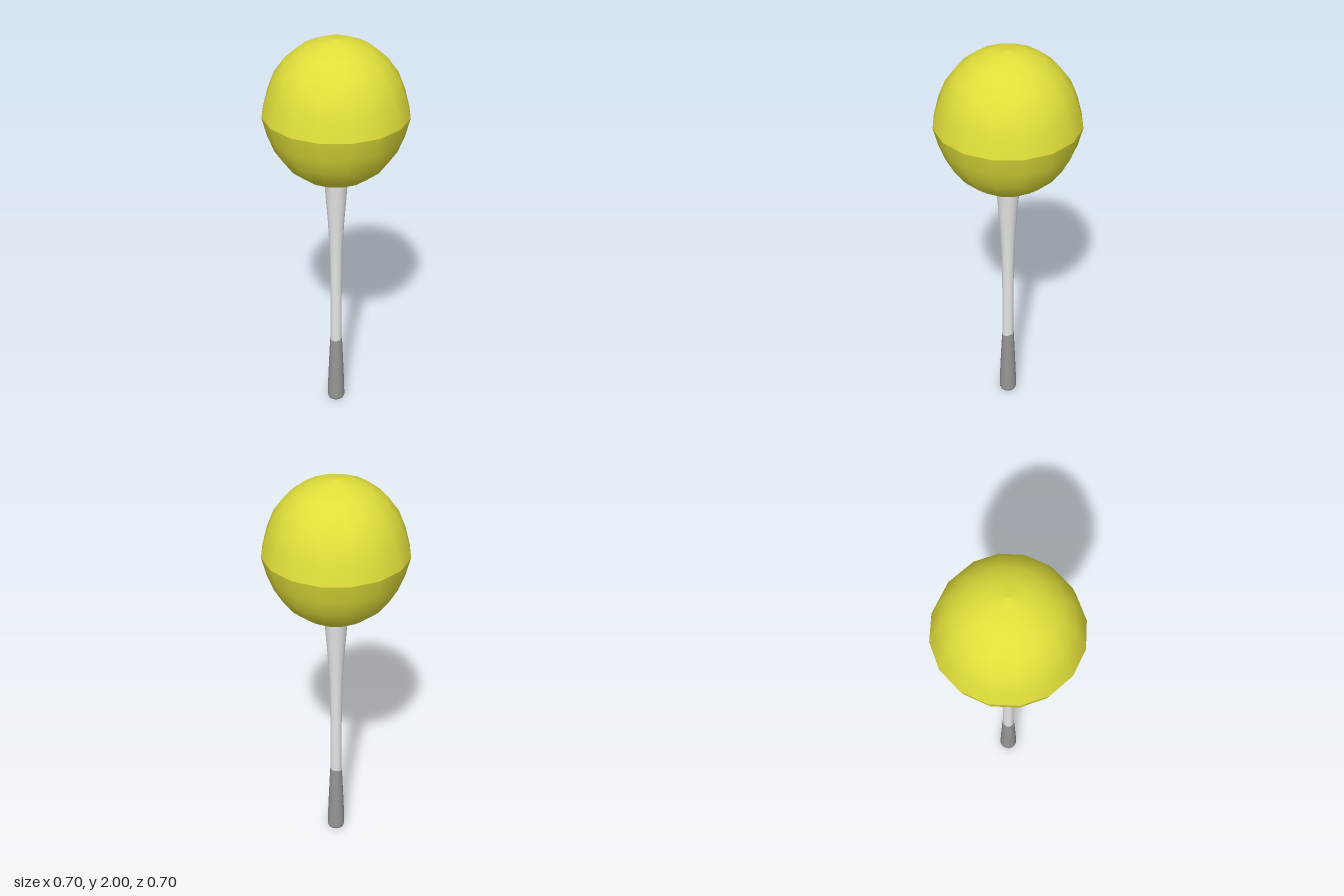
import * as THREE from 'three';

const yellow = new THREE.MeshStandardMaterial({ color: 0xe0de3a });
const offWhite = new THREE.MeshStandardMaterial({ color: 0xe6e6e6 });
const grey = new THREE.MeshStandardMaterial({ color: 0x959595 });

// Turned part; profile runs from bottom to top as [radius, y]
function turned(name, profile, material, segments = 16) {
  const points = profile.map(([r, y]) => new THREE.Vector2(r, y));
  const mesh = new THREE.Mesh(new THREE.LatheGeometry(points, segments), material);
  mesh.name = name;
  return mesh;
}

export function createModel() {
  const group = new THREE.Group();
  group.name = 'ballHeadedMallet';

  // Ball head: two domes meeting in a sharp, slightly proud seam
  const centreY = 1.645, radius = 0.336, height = 0.355, seamRadius = 0.348;
  const dome = [[seamRadius, 0]];
  for (let i = 1; i <= 6; i++) {
    const a = (i / 6) * Math.PI / 2;
    dome.push([i === 6 ? 0 : radius * Math.cos(a), height * Math.sin(a)]);
  }
  group.add(turned('upperDome', dome.map(([r, h]) => [r, centreY + h]), yellow));
  group.add(turned('lowerDome', dome.map(([r, h]) => [r, centreY - h]).reverse(), yellow));

  // Handle shaft flaring up into the ball
  group.add(turned('shaft', [
    [0.029, 0.34], [0.029, 0.6], [0.03, 0.78], [0.033, 0.92],
    [0.041, 1.07], [0.05, 1.19], [0.058, 1.3],
  ], offWhite));

  // Grip, its upper edge cut slightly higher at the back
  const grip = turned('grip', [[0.045, 0.012], [0.042, 0.12], [0.036, 0.26], [0.031, 0.375]], grey);
  const lip = turned('gripLip', [[0.031, 0.375], [0.027, 0.375]], grey);
  for (const mesh of [grip, lip]) {
    const p = mesh.geometry.attributes.position;
    for (let i = 0; i < p.count; i++) {
      if (p.getY(i) > 0.37) p.setY(i, p.getY(i) - p.getZ(i) * 0.25);
    }
    group.add(mesh);
  }

  // Butt end with a small bevel
  group.add(turned('buttBevel', [[0.04, 0], [0.045, 0.012]], grey));
  group.add(turned('buttCap', [[0, 0], [0.04, 0]], grey));

  return group;
}
